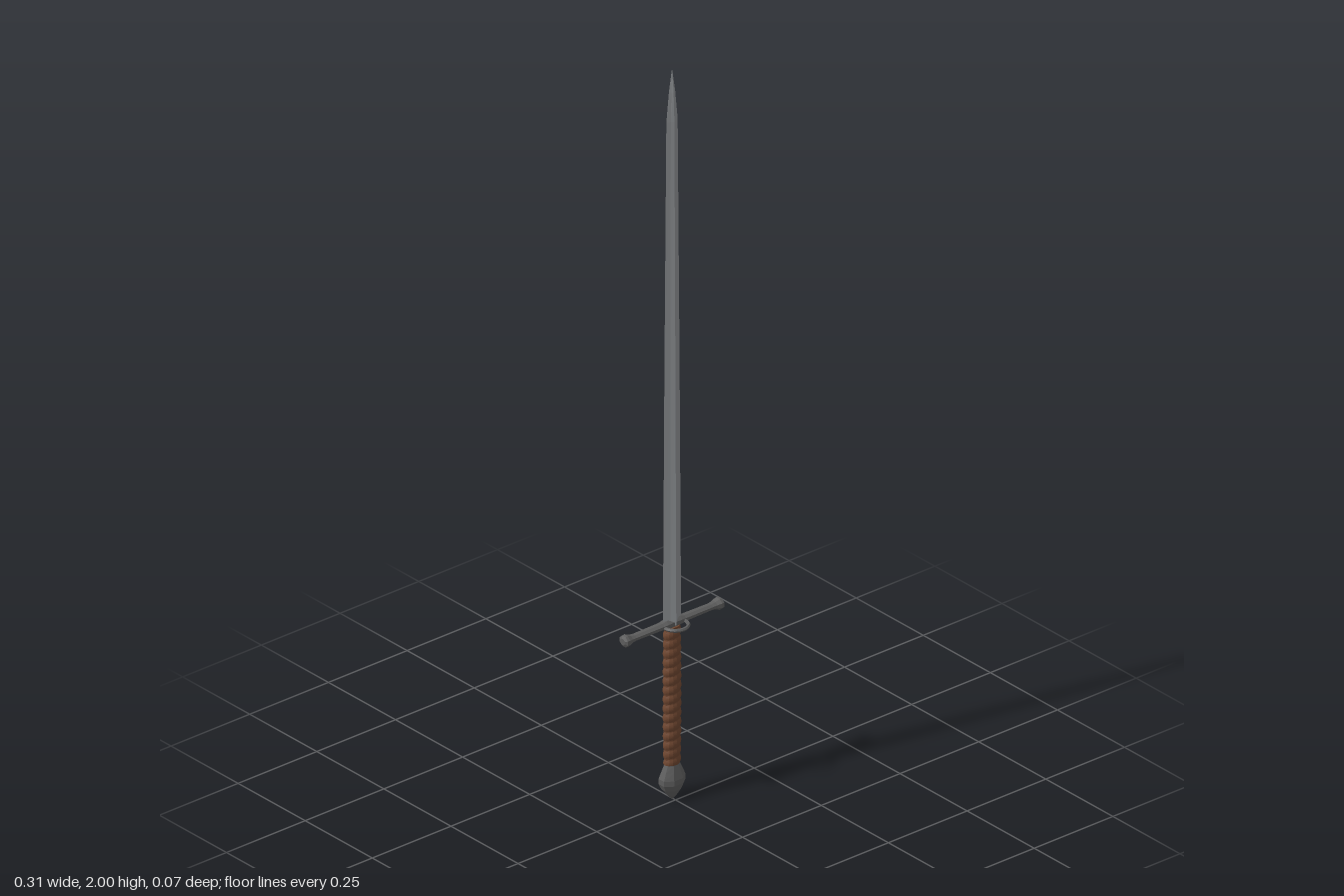
import * as THREE from 'three';

const steel = new THREE.MeshStandardMaterial({ color: 0x8c8f92, flatShading: true });
const iron = new THREE.MeshStandardMaterial({ color: 0x5c5c5c, flatShading: true });
const leather = new THREE.MeshStandardMaterial({ color: 0x6e4630, flatShading: true });

// Skin a stack of closed cross-sections (arrays of [x, y, z]) and cap both ends.
function loft(sections) {
  const n = sections[0].length;
  const pos = sections.flat(2);
  const index = [];
  for (let i = 0; i < sections.length - 1; i++) {
    for (let j = 0; j < n; j++) {
      const k = (j + 1) % n;
      const a = i * n + j, b = a + n, c = i * n + k, d = c + n;
      index.push(a, b, c, c, b, d);
    }
  }
  const top = (sections.length - 1) * n;
  for (let j = 1; j < n - 1; j++) {
    index.push(0, j, j + 1, top, top + j + 1, top + j);
  }
  const geo = new THREE.BufferGeometry();
  geo.setAttribute('position', new THREE.Float32BufferAttribute(pos, 3));
  geo.setIndex(index);
  geo.computeVertexNormals();
  return geo;
}

// Elliptical section with the given number of sides.
function ellipse(y, rx, rz, sides) {
  return Array.from({ length: sides }, (_, j) => {
    const a = ((j + 0.5) / sides) * Math.PI * 2;
    const fit = 1 / Math.cos(Math.PI / sides);
    return [Math.cos(a) * rx * fit, y, Math.sin(a) * rz * fit];
  });
}

// Ridged blade section: thin edges, hollowed flats, raised spine.
function bladeSection([y, w, t]) {
  const m = [w * 0.42, t * 0.5];
  return [[w, 0], m, [0, t], [-m[0], m[1]], [-w, 0], [-m[0], -m[1]], [0, -t], [m[0], -m[1]]]
    .map(([x, z]) => [x, y, z]);
}

export function createModel() {
  const sword = new THREE.Group();
  sword.name = 'sword';
  const add = (name, geo, mat) => {
    const mesh = new THREE.Mesh(geo, mat);
    mesh.name = name;
    sword.add(mesh);
    return mesh;
  };

  // Blade: long taper, then a short point
  add('blade', loft([
    [0.48, 0.029, 0.016], [1.2, 0.024, 0.0125], [1.86, 0.018, 0.009],
    [1.94, 0.01, 0.006], [2, 0.0005, 0.0005],
  ].map(bladeSection)), steel);

  // Crossguard: slim bar, thicker in the middle, flared knobs at both ends
  const half = [
    [0, 0.013, 0.014], [0.022, 0.012, 0.014], [0.034, 0.009, 0.0125], [0.122, 0.008, 0.0115],
    [0.134, 0.01, 0.0125], [0.146, 0.015, 0.016], [0.153, 0.014, 0.0155], [0.157, 0.008, 0.009],
  ];
  const span = [...half.slice(1).reverse().map(([x, h, d]) => [-x, h, d]), ...half];
  const guard = add('crossguard', loft(span.map(([x, h, d]) => ellipse(x, h, d, 8))), iron);
  guard.rotation.z = -Math.PI / 2;
  guard.position.y = 0.483;

  // Finger ring: horizontal half loop in front of the guard
  const ringGeo = new THREE.TorusGeometry(0.0315, 0.0048, 6, 16, Math.PI);
  ringGeo.rotateX(Math.PI / 2);
  const ring = add('sideRing', ringGeo, iron);
  ring.position.set(0, 0.481, 0.0127);
  for (const s of [-1, 1]) {
    const stub = add('ringStub', new THREE.CylinderGeometry(0.0048, 0.0048, 0.015, 6), iron);
    stub.rotation.x = Math.PI / 2;
    stub.position.set(s * 0.0315, 0.481, 0.006);
  }

  // Grip: oval handle with a spiral leather wrap
  const turns = 15, rows = turns * 6, sides = 14, y0 = 0.098, y1 = 0.476;
  const grip = [];
  for (let i = 0; i <= rows; i++) {
    const t = i / rows;
    const swell = 0.9 + 0.1 * Math.sin(Math.PI * (0.15 + t * 0.7));
    grip.push(ellipse(y0 + (y1 - y0) * t, 0.0225 * swell, 0.0175 * swell, sides).map(([x, y, z], j) => {
      const wrap = 0.95 + 0.15 * Math.abs(Math.sin(Math.PI * (turns * t + j / sides)));
      return [x * wrap, y, z * wrap];
    }));
  }
  add('grip', loft(grip), leather);

  // Pommel: faceted bulb with a pointed foot
  add('pommel', loft([
    [0, 0.003, 0.003], [0.012, 0.013, 0.011], [0.03, 0.027, 0.02], [0.046, 0.034, 0.025],
    [0.06, 0.034, 0.025], [0.08, 0.026, 0.02], [0.096, 0.019, 0.016], [0.106, 0.021, 0.017],
  ].map(([y, rx, rz]) => ellipse(y, rx, rz, 8))), iron);

  // The ring projects forward, so the sword itself sits slightly behind centre
  for (const part of sword.children) part.position.z -= 0.013;
  return sword;
}
